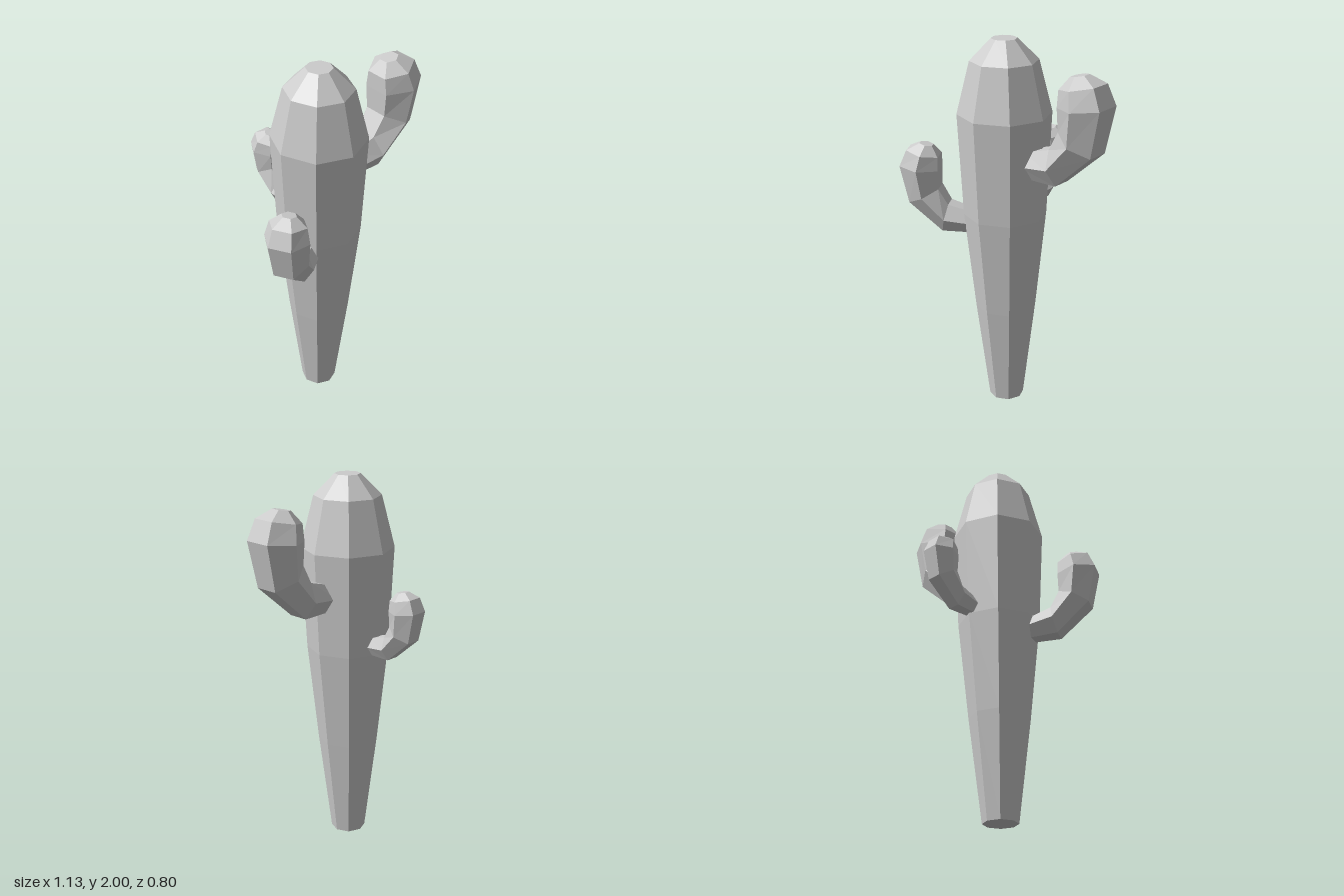
import * as THREE from 'three';

const material = new THREE.MeshStandardMaterial({ color: 0xcccccc, flatShading: true });

// Arm rings, bent in the xy plane: [centre x, centre y, tilt of the ring axis from vertical, radius]
const ARM_RINGS = [
  [-0.34, 0.07, -90, 0.08],
  [-0.16, 0.097, -77, 0.107],
  [-0.025, 0.242, -27, 0.124],
  [0.0, 0.425, 5, 0.142],
  [-0.022, 0.52, 11, 0.118],
  [-0.04, 0.572, 11, 0.047],
];

// Six-sided tube skinned over the rings, closed at both ends
function armGeometry() {
  const sides = 6;
  const positions = [];
  const indices = [];
  for (const [x, y, tilt, r] of ARM_RINGS) {
    const t = THREE.MathUtils.degToRad(tilt);
    for (let i = 0; i < sides; i++) {
      const a = ((i + 0.5) / sides) * Math.PI * 2;
      const n = Math.cos(a) * r;
      positions.push(x + n * Math.cos(t), y + n * Math.sin(t), -Math.sin(a) * r);
    }
  }
  const last = (ARM_RINGS.length - 1) * sides;
  for (let k = 0; k < last; k += sides) {
    for (let i = 0; i < sides; i++) {
      const j = (i + 1) % sides;
      indices.push(k + i, k + j, k + sides + j, k + i, k + sides + j, k + sides + i);
    }
  }
  for (let i = 1; i < sides - 1; i++) {
    indices.push(0, i + 1, i, last, last + i, last + i + 1);
  }
  const geometry = new THREE.BufferGeometry();
  geometry.setAttribute('position', new THREE.Float32BufferAttribute(positions, 3));
  geometry.setIndex(indices);
  const flat = geometry.toNonIndexed();
  flat.computeVertexNormals();
  return flat;
}

export function createModel() {
  const model = new THREE.Group();
  model.name = 'cactus';

  // Eight-sided trunk, widening upwards to a blunt top
  const profile = [
    [0, 0], [0.092, 0], [0.16, 0.55], [0.216, 1.08],
    [0.243, 1.62], [0.175, 1.89], [0.067, 2], [0, 2],
  ].map(([r, y]) => new THREE.Vector2(r, y));
  const trunk = new THREE.Mesh(new THREE.LatheGeometry(profile, 8), material);
  trunk.name = 'trunk';
  trunk.position.set(-0.06, 0, 0.085);
  model.add(trunk);

  // The same arm at three sizes and headings
  const geometry = armGeometry();
  const arms = [
    ['leftArm', [0.44, 1.315, 0.087], 0, 1],
    ['rightArm', [-0.45, 0.965, 0.297], 209, 0.82],
    ['backArm', [-0.055, 1.08, -0.325], 90, 0.655],
  ];
  for (const [name, position, heading, scale] of arms) {
    const arm = new THREE.Mesh(geometry, material);
    arm.name = name;
    arm.position.set(...position);
    arm.rotation.y = THREE.MathUtils.degToRad(heading);
    arm.scale.setScalar(scale);
    model.add(arm);
  }
  return model;
}
